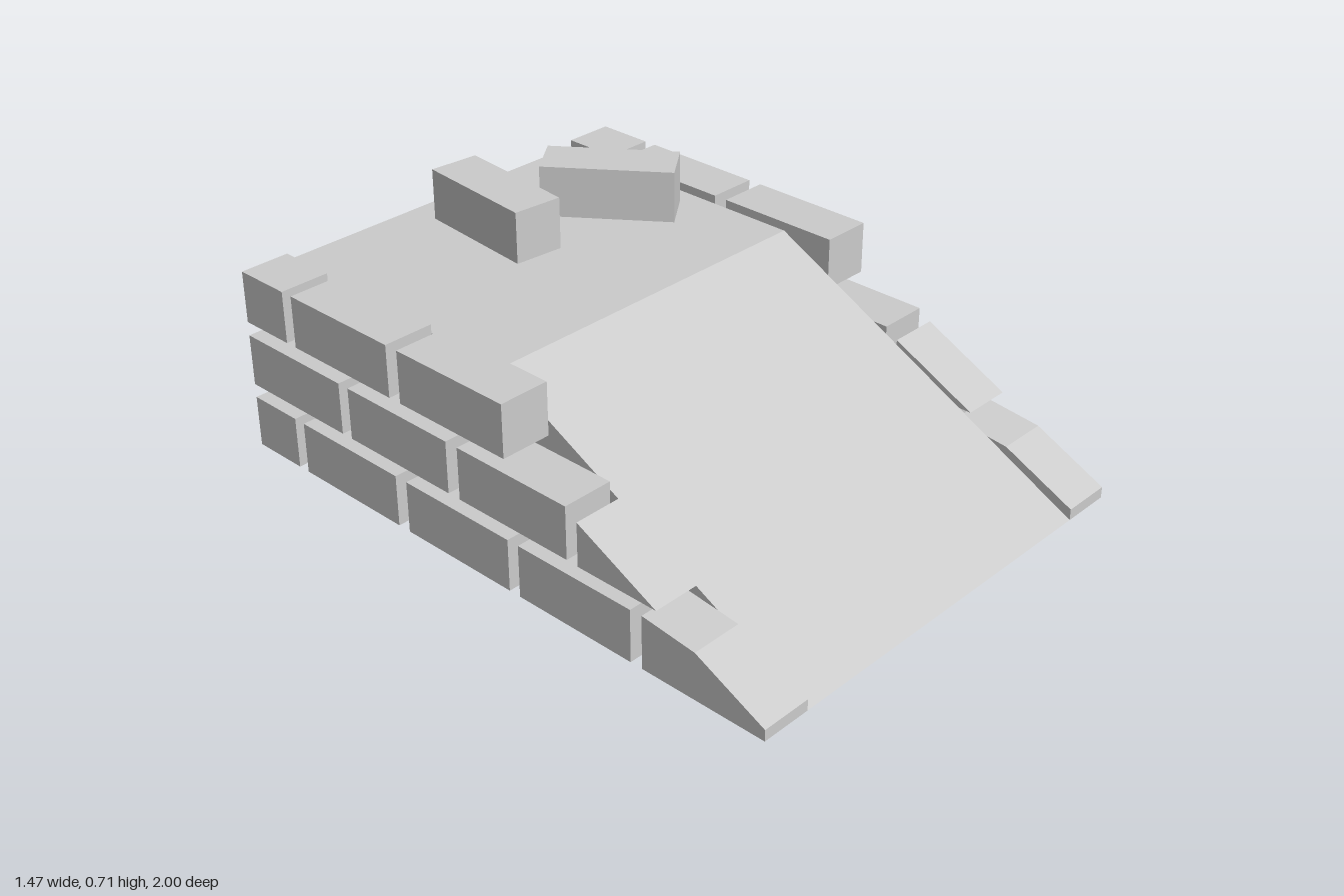
import * as THREE from 'three';

const material = new THREE.MeshStandardMaterial({ color: 0xcccccc, flatShading: true });

// Prism across x, centred on x = 0, from a side profile of [z, y] points
function prism(name, profile, width) {
  const shape = new THREE.Shape(profile.map(([z, y]) => new THREE.Vector2(z, y)));
  const geometry = new THREE.ExtrudeGeometry(shape, { depth: width, bevelEnabled: false });
  geometry.translate(0, 0, -width / 2).rotateY(-Math.PI / 2);
  const mesh = new THREE.Mesh(geometry, material);
  mesh.name = name;
  return mesh;
}

function brick(name, width, height, length, x, y, z, turn = 0) {
  const mesh = new THREE.Mesh(new THREE.BoxGeometry(width, height, length), material);
  mesh.name = name;
  mesh.position.set(x, y, z);
  mesh.rotation.y = turn;
  return mesh;
}

const CORE_WIDTH = 1.15;
const BRICK = { width: 0.16, height: 0.163, length: 0.41 };

// Brick courses: bottom height and [back, front] of each brick
const COURSES = [
  { y: 0, spans: [[-0.99, -0.805], [-0.765, -0.355], [-0.31, 0.1], [0.14, 0.55]] },
  { y: 0.207, spans: [[-0.99, -0.58], [-0.54, -0.13], [-0.085, 0.325]] },
  { y: 0.414, spans: [[-0.99, -0.805], [-0.765, -0.355], [-0.31, 0.1]] },
];

// Bricks cut to follow the slope
const CUT_BRICKS = [
  [[1, 0], [1, 0.035], [0.77, 0.145], [0.59, 0.165], [0.59, 0]],
  [[0.64, 0.205], [0.365, 0.34], [0.365, 0.205]],
];

function sideWall(side) {
  const wall = new THREE.Group();
  wall.name = side > 0 ? 'leftBrickWall' : 'rightBrickWall';
  const x = side * (CORE_WIDTH + BRICK.width) / 2;
  for (const { y, spans } of COURSES) {
    for (const [back, front] of spans) {
      wall.add(brick('wallBrick', BRICK.width, BRICK.height, front - back,
        x, y + BRICK.height / 2, (back + front) / 2));
    }
  }
  for (const profile of CUT_BRICKS) {
    const cut = prism('slopedBrick', profile, BRICK.width);
    cut.position.x = x;
    wall.add(cut);
  }
  return wall;
}

export function createModel() {
  const model = new THREE.Group();
  model.name = 'brickRamp';

  // Ramp body with a flat platform behind the slope
  model.add(prism('rampBody', [[1, 0], [-0.075, 0.55], [-1, 0.55], [-1, 0]], CORE_WIDTH));

  // Brick walls on both sides
  for (const side of [1, -1]) model.add(sideWall(side));

  // Two loose bricks on the platform
  const { width, height, length } = BRICK;
  const looseY = 0.55 + height / 2;
  model.add(brick('looseBrickCentre', width, height, length, -0.027, looseY, -0.69, -0.095));
  model.add(brick('looseBrickLeft', width, height, length, 0.333, looseY, -0.567, 0.64));

  return model;
}
